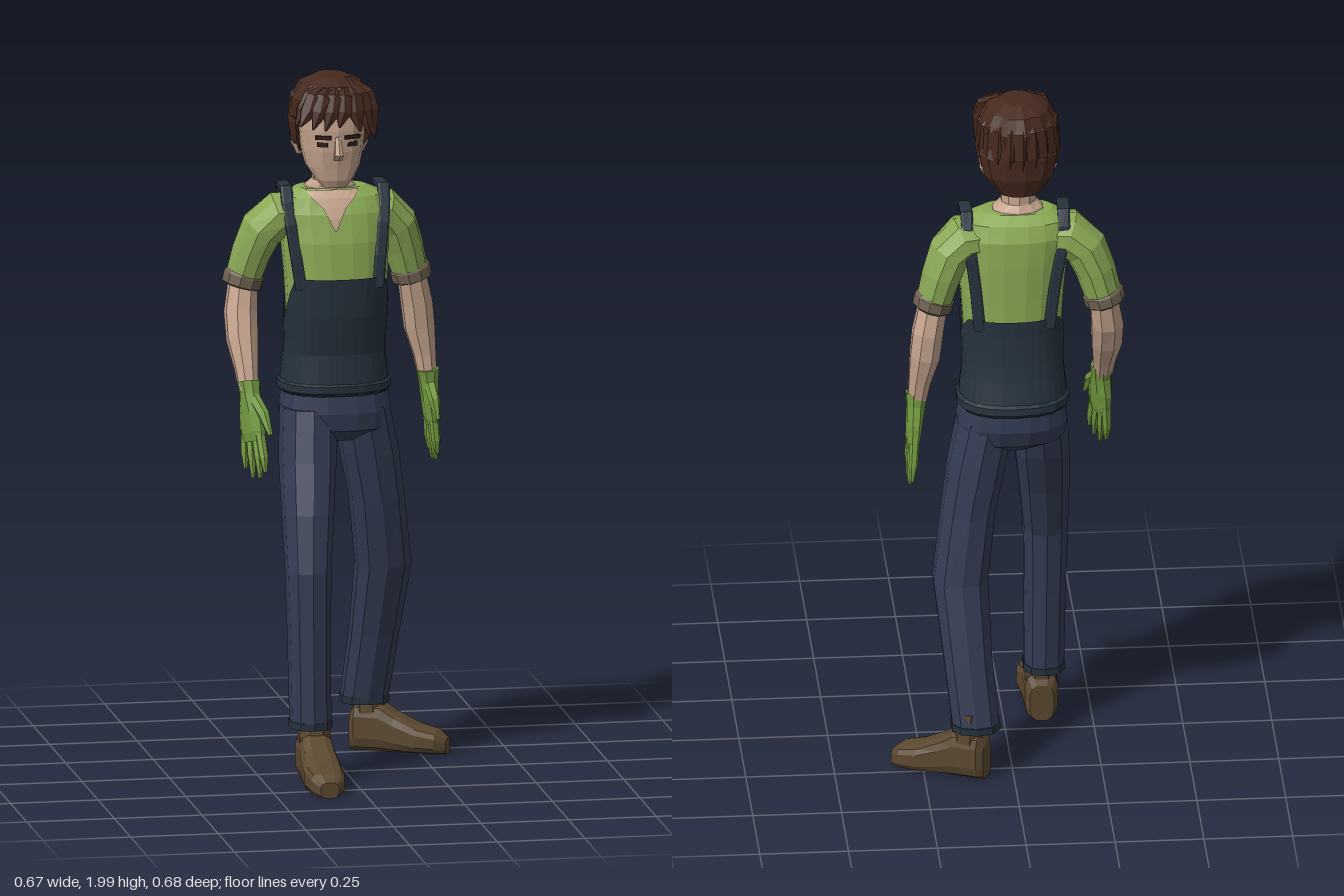
import * as THREE from 'three';

const V = (x, y, z) => new THREE.Vector3(x, y, z);
const X = V(1, 0, 0), Y = V(0, 1, 0), Z = V(0, 0, 1);

const mat = (name, color, side = THREE.FrontSide) => {
  const m = new THREE.MeshStandardMaterial({ color, side });
  m.name = name;
  return m;
};

// Faceted surface from fn(row, column)
function grid(fn, rows, cols) {
  const pos = [];
  for (let i = 0; i < rows; i++) for (let j = 0; j < cols; j++) {
    const a = fn(i, j), b = fn(i, j + 1), c = fn(i + 1, j + 1), d = fn(i + 1, j);
    for (const q of [a, b, c, a, c, d]) pos.push(q.x, q.y, q.z);
  }
  const g = new THREE.BufferGeometry();
  g.setAttribute('position', new THREE.Float32BufferAttribute(pos, 3));
  g.computeVertexNormals();
  return g;
}

const pw = (v, p) => Math.sign(v) * Math.abs(v) ** (2 / p);

// Closed loft through rings [x, y, z, radiusA, radiusB]; rings follow the path unless axis is fixed
function loft(rings, { n = 10, axis = null, ref = X, p = 2, ridge = 0 } = {}) {
  const last = rings.length - 1;
  const c = rings.map(r => V(r[0], r[1], r[2]));
  const rows = rings.map((r, i) => {
    const t = axis ? axis.clone() : c[Math.min(i + 1, last)].clone().sub(c[Math.max(i - 1, 0)]).normalize();
    const u = ref.clone().addScaledVector(t, -ref.dot(t)).normalize();
    const v = t.clone().cross(u);
    return Array.from({ length: n }, (_, j) => {
      const a = (j + 0.5) / n * Math.PI * 2, k = 1 - ridge * (j % 2);
      return c[i].clone().addScaledVector(u, pw(Math.cos(a), p) * r[3] * k)
        .addScaledVector(v, pw(Math.sin(a), p) * (r[4] ?? r[3]) * k);
    });
  });
  rows.unshift(Array(n).fill(c[0]));
  rows.push(Array(n).fill(c[last]));
  return grid((i, j) => rows[i][j % n], rows.length - 1, n);
}

// Torso cross-sections: y, centre x, centre z, half width, half depth
const TORSO = [
  [1.08, -.012, -.105, .148, .125], [1.2, -.013, -.095, .136, .104], [1.3, -.012, -.08, .138, .108],
  [1.42, -.012, -.076, .146, .112], [1.52, -.015, -.08, .152, .11], [1.6, -.018, -.088, .158, .1],
  [1.645, -.02, -.09, .15, .08], [1.668, -.025, -.085, .1, .055]];
const TP = 2.4;
function torsoAt(y) {
  let i = 0;
  while (i < TORSO.length - 2 && y > TORSO[i + 1][0]) i++;
  const a = TORSO[i], b = TORSO[i + 1], f = (y - a[0]) / (b[0] - a[0]);
  return a.map((v, k) => v + (b[k] - v) * f);
}
function torsoZ(x, y, s) {
  const [, cx, cz, rx, rz] = torsoAt(y);
  const q = Math.min(Math.abs(x - cx) / rx, .97);
  return cz + s * rz * (1 - q ** TP) ** (1 / TP);
}

export function createModel() {
  const model = new THREE.Group();
  model.name = 'workman';
  const shirt = mat('shirt green', 0x8aa955), glove = mat('glove green', 0x72993f);
  const skin = mat('skin', 0xc4a38d, THREE.DoubleSide), hair = mat('hair brown', 0x46291e);
  const bib = mat('overall slate', 0x26323d, THREE.DoubleSide), denim = mat('trouser blue', 0x343c54);
  const boot = mat('boot brown', 0x5b4830), cuff = mat('cuff taupe', 0x6e6150), dark = mat('eye dark', 0x2c1b17);
  const add = (name, geo, m, parent = model) => {
    const mesh = new THREE.Mesh(geo, m);
    mesh.name = name;
    parent.add(mesh);
    return mesh;
  };

  // Shirt and overalls
  add('shirt', loft(TORSO.map(r => [r[1], r[0], r[2], r[3], r[4]]), { n: 20, axis: Y, p: TP }), shirt);
  add('overallBib', grid((i, j) => {
    const a = j / 32 * Math.PI * 2, s = -Math.sin(a);
    const top = s > 0 ? 1.29 + .13 * Math.min(s / .6, 1) : 1.29 + .07 * Math.min(-s / .6, 1);
    const y = 1.085 + (top - 1.085) * i / 6, [, cx, cz, rx, rz] = torsoAt(y);
    return V(cx + pw(Math.cos(a), TP) * (rx + .007), y, cz + pw(s, TP) * (rz + .007));
  }, 6, 32), bib);
  add('waistBand', loft([[-.012, 1.08, -.105, .15, .128], [-.012, 1.09, -.105, .16, .136],
    [-.012, 1.11, -.104, .16, .135], [-.012, 1.122, -.102, .145, .118]], { n: 18, axis: Y, p: TP }), bib);

  // Straps over the shoulders
  for (const [name, front, back] of [
    ['rightStrap', [-.125, -.138, -.15, -.157], [-.155, -.143, -.125, -.11]],
    ['leftStrap', [.092, .1, .112, .12], [.118, .108, .096, .085]]]) {
    const f = [1.39, 1.48, 1.57, 1.63].map((y, i) => [front[i], y, torsoZ(front[i], y, 1) + .006, .017, .009]);
    const b = [1.63, 1.55, 1.45, 1.33].map((y, i) => [back[i], y, torsoZ(back[i], y, -1) - .006, .017, .009]);
    const top = [[front[3], 1.668, -.055, .018, .01], [back[0], 1.668, -.12, .018, .01]];
    add(name, loft([...f, ...top, ...b], { n: 8, p: 4 }), bib);
  }

  // Open neckline and neck
  const vee = [[1.555, .002], [1.59, .018], [1.62, .034], [1.645, .06], [1.666, .075]];
  add('openNeckline', grid((i, j) => {
    const [y, w] = vee[i], x = -.03 + w * (j / 3 - 1);
    return V(x, y, torsoZ(x, y, 1) + .006);
  }, 4, 6), skin);
  add('neck', loft([[-.028, 1.645, -.085, .085, .058], [-.028, 1.672, -.082, .072, .054],
    [-.03, 1.69, -.075, .05, .05], [-.03, 1.78, -.07, .05, .052]], { axis: Y }), skin);

  // Head
  const head = new THREE.Group();
  head.name = 'head';
  model.add(head);
  add('face', loft([[-.03, 1.683, .002, .036, .03], [-.03, 1.705, -.008, .055, .05], [-.03, 1.74, -.028, .076, .076],
    [-.03, 1.79, -.046, .088, .105], [-.03, 1.85, -.052, .094, .116], [-.03, 1.92, -.055, .094, .115],
    [-.03, 1.97, -.06, .06, .07]], { n: 14, axis: Y, p: 2.3 }), skin, head);
  add('nose', loft([[-.03, 1.835, .058, .008, .008], [-.03, 1.785, .072, .014, .015], [-.03, 1.768, .06, .013, .01]],
    { n: 6, axis: Y.clone().negate() }), skin, head);
  for (const s of [-1, 1]) {
    add('ear', loft([[-.03 + s * .088, 1.765, -.07, .008, .012], [-.03 + s * .098, 1.795, -.075, .013, .024],
      [-.03 + s * .1, 1.83, -.08, .01, .022]], { n: 6, axis: Y }), skin, head);
    for (const [name, y, h, w] of [['eye', 1.812, .013, .03], ['eyebrow', 1.833, .011, .046]]) {
      const m = add(name, new THREE.BoxGeometry(w, h, .009).toNonIndexed(), dark, head);
      m.position.set(-.03 + s * .042, y, name === 'eye' ? .048 : .055);
      m.rotation.y = s * .32;
    }
  }

  // Hair: ridged cap, back locks and swept fringe
  add('hairCap', loft([[-.03, 1.735, -.12, .06, .045], [-.03, 1.79, -.117, .1, .065], [-.03, 1.85, -.103, .113, .08],
    [-.03, 1.878, -.062, .115, .12], [-.03, 1.93, -.06, .114, .122], [-.03, 1.972, -.058, .088, .1],
    [-.03, 1.993, -.055, .045, .055]], { n: 24, axis: Y, ridge: .05 }), hair, head);
  for (let k = 0; k < 11; k++) {
    const a = (k / 10) * Math.PI, ca = Math.cos(a), sa = Math.sin(a), end = 1.775 - .05 * sa + .012 * (k % 2);
    const at = (r, d, y, w) => [-.03 + ca * r, y, -.06 - sa * d, w, w * .8];
    add('backLock', loft([at(.05, .05, 1.98, .012), at(.098, .105, 1.93, .022), at(.104, .113, 1.86, .022),
      at(.1, .105, 1.81, .017), at(.085, .085, end, .003)], { n: 5, ref: V(sa, 0, ca) }), hair, head);
  }
  for (const [mx, mz, ex, ey, ez] of [[-.12, .02, -.145, 1.865, .03], [-.115, .055, -.14, 1.872, .075],
    [-.085, .065, -.105, 1.862, .08], [-.05, .068, -.07, 1.858, .084], [-.015, .068, -.03, 1.866, .082],
    [.02, .062, .03, 1.852, .078], [.045, .05, .06, 1.835, .066], [.07, .02, .08, 1.82, .03]])
    add('fringeLock', loft([[.2 * mx, 1.982, -.02, .012, .012], [mx * .85, 1.945, mz * .85, .024, .018],
      [mx, 1.905, mz, .025, .018], [ex, ey, ez, .003, .003]], { n: 6 }), hair, head);

  // Arms, cuffs and gloved hands
  const arms = {
    right: {
      sleeve: [[-.1, 1.592, -.09, .07, .058], [-.17, 1.588, -.093, .08, .066], [-.218, 1.545, -.102, .077, .063],
        [-.245, 1.48, -.112, .068, .057], [-.268, 1.4, -.12, .056, .052]],
      cuff: [[-.262, 1.42, -.119, .056, .053], [-.265, 1.412, -.119, .062, .059], [-.272, 1.385, -.12, .062, .058],
        [-.274, 1.378, -.12, .048, .046]],
      fore: [[-.268, 1.4, -.12, .044, .042], [-.279, 1.31, -.1, .05, .048], [-.28, 1.24, -.07, .047, .046],
        [-.276, 1.16, -.025, .034, .034], [-.274, 1.1, .002, .028, .028]],
      hand: [-.272, 1.12, -.002], drift: [.008, .075], w: V(.42, 0, .91)
    },
    left: {
      sleeve: [[.06, 1.592, -.095, .07, .058], [.125, 1.586, -.1, .08, .066], [.165, 1.545, -.107, .077, .062],
        [.188, 1.48, -.115, .07, .057], [.21, 1.4, -.12, .057, .051]],
      cuff: [[.205, 1.42, -.119, .057, .052], [.208, 1.412, -.119, .062, .058], [.215, 1.385, -.121, .062, .057],
        [.217, 1.378, -.121, .048, .046]],
      fore: [[.212, 1.4, -.12, .044, .042], [.23, 1.31, -.135, .05, .046], [.238, 1.24, -.138, .046, .045],
        [.252, 1.16, -.132, .034, .033], [.26, 1.09, -.126, .028, .027]],
      hand: [.26, 1.11, -.124], drift: [.022, -.02], w: V(.05, 0, 1)
    }
  };
  for (const [side, arm] of Object.entries(arms)) {
    const g = new THREE.Group();
    g.name = side + 'Arm';
    model.add(g);
    add('sleeve', loft(arm.sleeve, { ref: Z }), shirt, g);
    add('sleeveCuff', loft(arm.cuff, { ref: Z }), cuff, g);
    add('forearm', loft(arm.fore, { ref: Z, n: 8 }), skin, g);
    const [hx, hy, hz] = arm.hand, [dx, dz] = arm.drift, w = arm.w;
    // Point on the hand: along 0..1 from wrist to fingertips, across in units
    const at = (f, s, a, b) => [hx + dx * f + w.x * s, hy - .255 * f, hz + dz * f + w.z * s, a, b];
    add('palm', loft([at(-.04, 0, .034, .033), at(.1, 0, .034, .028), at(.3, 0, .05, .024), at(.5, 0, .055, .02),
      at(.6, 0, .047, .014)], { n: 8, ref: w }), glove, g);
    [-.052, -.018, .017, .045].forEach((s, k) => add('finger', loft([at(.5, s * .75, .015, .014),
      at(.75, s * .95, .014, .013), at([.92, 1, .98, .9][k], s, .005, .006)], { n: 6, ref: w }), glove, g));
    add('thumb', loft([at(.12, .015, .02, .018), at(.28, .06, .018, .016), at(.48, .085, .007, .007)],
      { n: 6, ref: w }), glove, g);
  }

  // Trousers
  const DOWN = V(0, -1, 0);
  add('trouserSeat', loft([[-.012, 1.1, -.103, .145, .122], [-.01, 1.03, -.1, .157, .128],
    [-.008, .98, -.095, .15, .115], [-.005, .945, -.09, .07, .07]], { n: 16, axis: DOWN, p: 2.5 }), denim);
  const legs = {
    right: [[-.09, 1.04, -.08, .078, .1], [-.1, .9, -.035, .08, .1], [-.11, .76, .025, .073, .09],
      [-.118, .6, .072, .064, .08], [-.117, .4, .082, .06, .074], [-.115, .165, .09, .058, .07]],
    left: [[.062, 1.04, -.1, .08, .112], [.09, .9, -.115, .083, .103], [.115, .76, -.13, .078, .092],
      [.14, .56, -.165, .08, .076], [.124, .35, -.222, .071, .068], [.105, .155, -.268, .068, .064]]
  };
  for (const [side, rings] of Object.entries(legs)) {
    add(side + 'TrouserLeg', loft(rings, { n: 10, axis: DOWN, p: 2.3 }), denim);
    const [x, y, z, a, b] = rings[5];
    add(side + 'TrouserHem', loft([[x, y + .008, z, a + .003, b + .003], [x, y - .012, z, a + .003, b + .003]],
      { n: 10, axis: DOWN, p: 2.3 }), bib);
  }

  // Boots: heel at the origin, toe along +z
  const shoe = [[0, .11, .034], [.018, .14, .048], [.095, .14, .05], [.14, .112, .053],
    [.21, .08, .058], [.27, .066, .05], [.3, .045, .026]];
  for (const [side, x, z, yaw, len] of [['right', -.107, .048, 0, 1], ['left', .075, -.3, 1.13, .93]]) {
    const g = new THREE.Group();
    g.name = side + 'Boot';
    g.position.set(x, 0, z);
    g.rotation.y = yaw;
    model.add(g);
    add('shoe', loft(shoe.map(([d, h, w]) => [0, h / 2, d * len, w, h / 2]), { n: 12, axis: Z, p: 3.2 }), boot, g);
    add('ankle', loft([[0, .09, .056, .049, .05], [0, .2, .05, .045, .045]], { n: 8, axis: Y }), boot, g);
  }
  return model;
}
